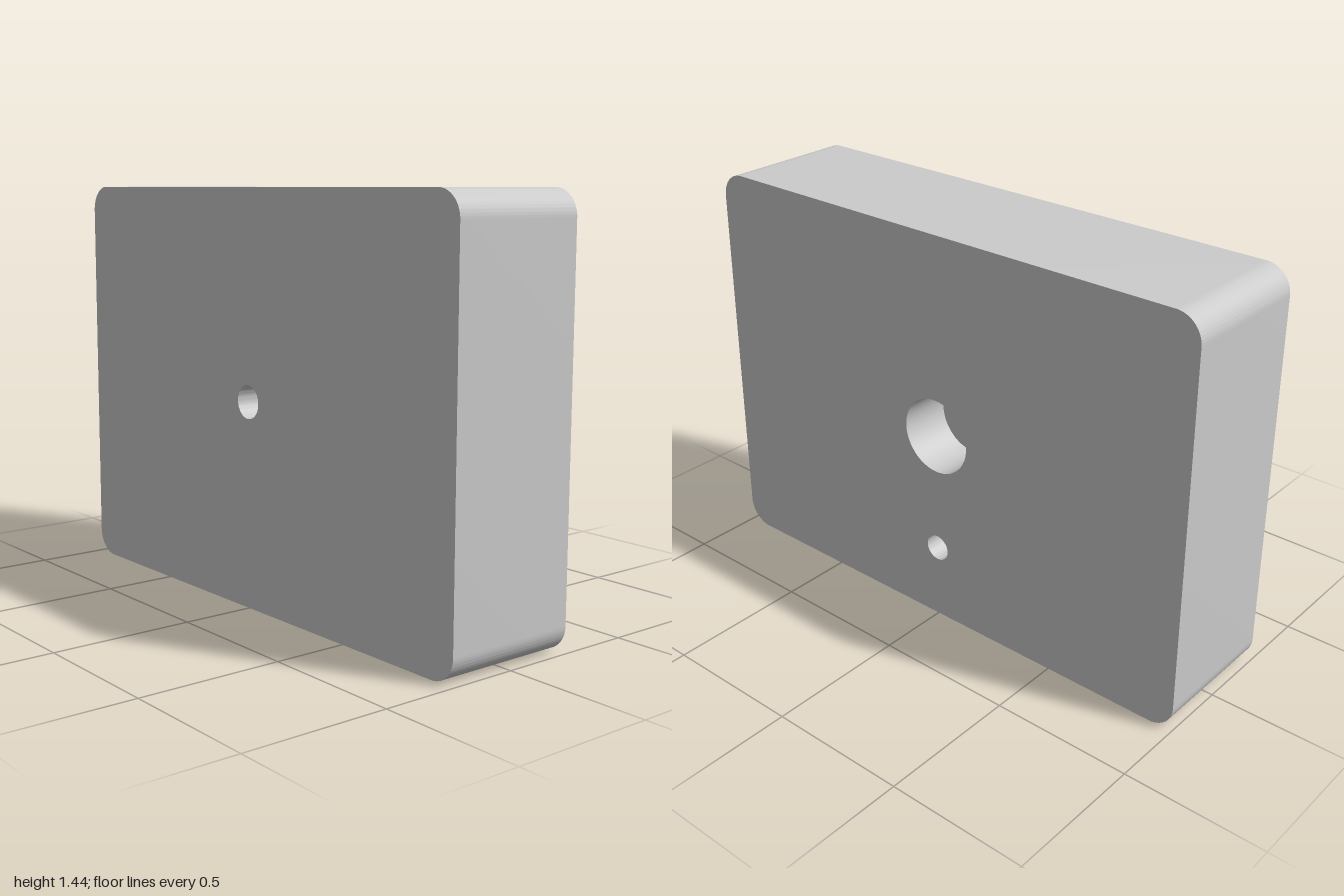
import * as THREE from 'three';
import { toCreasedNormals } from 'three/addons/utils/BufferGeometryUtils.js';

const WIDTH = 2, HEIGHT = 1.44, DEPTH = 0.486, CORNER = 0.09, SEGMENTS = 24;
const material = new THREE.MeshStandardMaterial({ color: 0xcccccc });

function addMesh(parent, name, geometry) {
  const mesh = new THREE.Mesh(geometry, material);
  mesh.name = name;
  parent.add(mesh);
  return mesh;
}

// Rounded rectangle, counter-clockwise, standing on y = 0
function blockOutline() {
  const x = WIDTH / 2 - CORNER, low = CORNER, high = HEIGHT - CORNER;
  const shape = new THREE.Shape();
  shape.absarc(x, low, CORNER, -Math.PI / 2, 0);
  shape.absarc(x, high, CORNER, 0, Math.PI / 2);
  shape.absarc(-x, high, CORNER, Math.PI / 2, Math.PI);
  shape.absarc(-x, low, CORNER, Math.PI, Math.PI * 1.5);
  shape.closePath();
  return shape;
}

function circle(y, radius) {
  const shape = new THREE.Shape();
  shape.absarc(0, y, radius, 0, Math.PI * 2);
  return shape;
}

// Strip along an outline: faces outward when z1 > z0, inward when z1 < z0
function wall(shape, z0, z1) {
  const points = shape.getPoints(SEGMENTS);
  const positions = [];
  for (let i = 0; i < points.length; i++) {
    const p = points[i], q = points[(i + 1) % points.length];
    if (p.distanceTo(q) < 1e-6) continue;
    positions.push(p.x, p.y, z0, q.x, q.y, z0, q.x, q.y, z1);
    positions.push(p.x, p.y, z0, q.x, q.y, z1, p.x, p.y, z1);
  }
  const geometry = new THREE.BufferGeometry();
  geometry.setAttribute('position', new THREE.Float32BufferAttribute(positions, 3));
  return toCreasedNormals(geometry, Math.PI / 6);
}

// Flat face with its blind holes, facing +z
function faceWithHoles(name, holes) {
  const group = new THREE.Group();
  group.name = name;
  const outline = blockOutline();
  for (const { label, y, radius, depth } of holes) {
    const rim = circle(y, radius);
    outline.holes.push(rim);
    addMesh(group, label + 'Wall', wall(rim, DEPTH / 2, DEPTH / 2 - depth));
    addMesh(group, label + 'Floor', new THREE.ShapeGeometry(rim, SEGMENTS))
      .position.z = DEPTH / 2 - depth;
  }
  addMesh(group, name + 'Plate', new THREE.ShapeGeometry(outline, SEGMENTS))
    .position.z = DEPTH / 2;
  return group;
}

export function createModel() {
  const model = new THREE.Group();
  model.name = 'drilledBlock';

  // Outer sides with rounded corners
  addMesh(model, 'blockSides', wall(blockOutline(), -DEPTH / 2, DEPTH / 2));

  // Front with one small central hole
  model.add(faceWithHoles('frontFace', [
    { label: 'frontHole', y: 0.72, radius: 0.058, depth: 0.19 },
  ]));

  // Back with a large central hole and a small one below it
  const back = faceWithHoles('backFace', [
    { label: 'largeBackHole', y: 0.72, radius: 0.136, depth: 0.19 },
    { label: 'smallBackHole', y: 0.277, radius: 0.047, depth: 0.19 },
  ]);
  back.rotation.y = Math.PI;
  model.add(back);

  return model;
}
